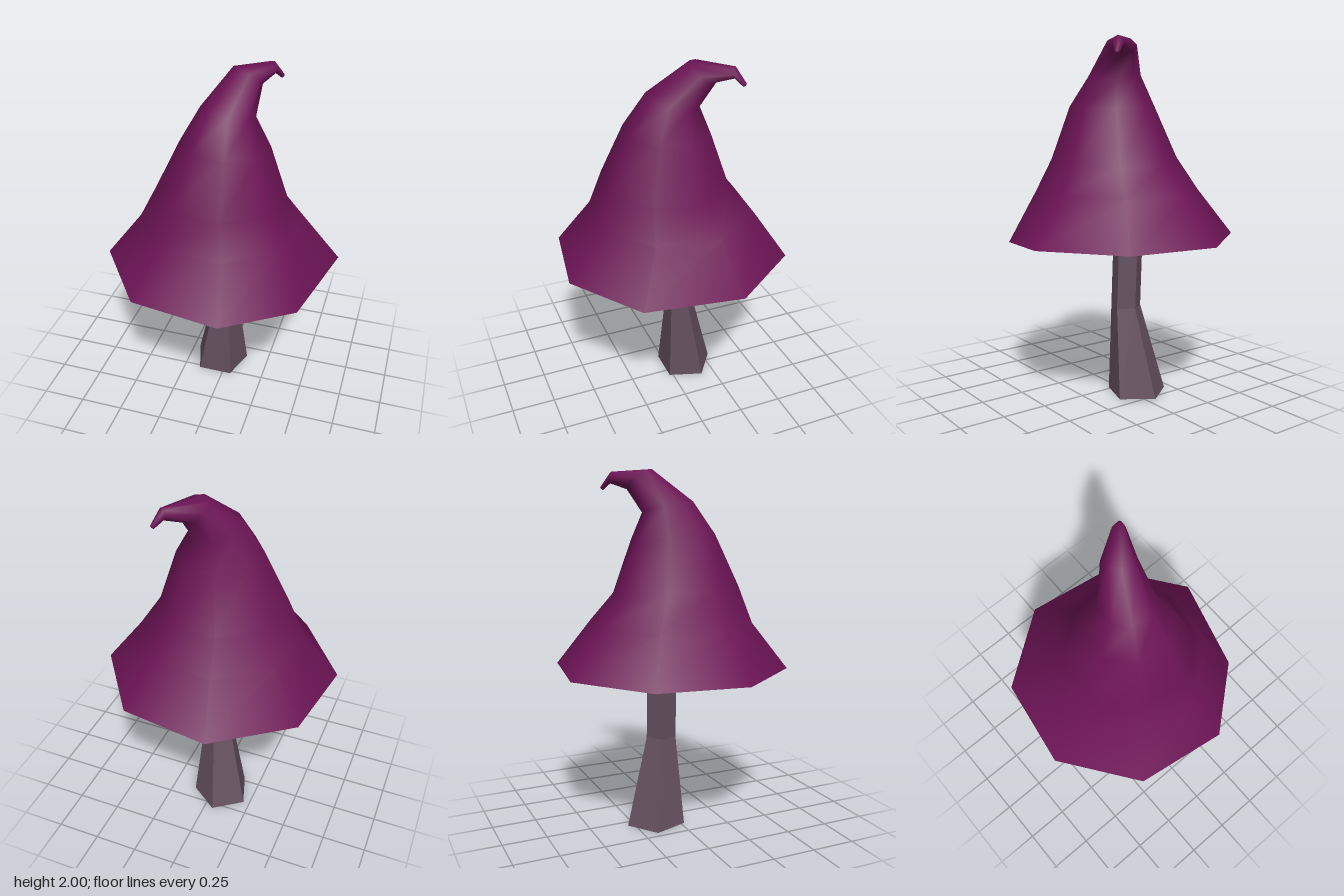
import * as THREE from 'three';

const DEG = Math.PI / 180;

// Skins a stack of rings; each ring is a closed loop of the same number of points.
function loft(rings) {
  const n = rings[0].length;
  const index = [];
  for (let i = 0; i < rings.length - 1; i++) {
    for (let k = 0; k < n; k++) {
      const a = i * n + k, b = i * n + (k + 1) % n;
      index.push(a, a + n, b, b, a + n, b + n);
    }
  }
  const geo = new THREE.BufferGeometry().setFromPoints(rings.flat());
  geo.setIndex(index);
  geo.computeVertexNormals();
  return geo;
}

// Ring round (x, y, z); tilt tips its upper side towards the heading angle.
function ring([x, y, z, r, tilt = 0], sides, heading, start) {
  const h = heading * DEG, t = tilt * DEG;
  const u = new THREE.Vector3(Math.cos(h) * Math.cos(t), -Math.sin(t), Math.sin(h) * Math.cos(t));
  const v = new THREE.Vector3(-Math.sin(h), 0, Math.cos(h));
  return Array.from({ length: sides }, (_, k) => {
    const a = start * DEG + (k / sides) * Math.PI * 2;
    return new THREE.Vector3(x, y, z)
      .addScaledVector(u, r * Math.cos(a))
      .addScaledVector(v, r * Math.sin(a));
  });
}

export function createModel() {
  const group = new THREE.Group();
  const add = (name, geo, mat) => {
    const mesh = new THREE.Mesh(geo, mat);
    mesh.name = name;
    group.add(mesh);
  };

  const capMat = new THREE.MeshStandardMaterial({ color: 0x6c1455 });
  const stemMat = new THREE.MeshStandardMaterial({ color: 0x64505e, flatShading: true });

  // Cap: eight-sided cone whose top curls over into a hooked tip
  const capRing = (p) => ring(p, 8, -52, -7);
  const cap = [
    [0, 0.905, 0, 0.66],
    [0, 1.16, 0, 0.46],
    [0, 1.34, 0.03, 0.355, 4],
    [0.02, 1.63, 0.025, 0.237, 4],
    [0.025, 1.795, -0.005, 0.145, 12],
    [0.09, 1.945, -0.145, 0.088, 38],
    [0.197, 1.955, -0.272, 0.032, 85],
    [0.235, 1.895, -0.312, 0.012, 130],
    [0.237, 1.893, -0.314, 0.0005, 130],
  ].map(capRing);
  const droop = new THREE.Vector3(0.51, 0.865, 0.35); // one sagging rim corner
  cap[0][2].copy(droop);
  add('cap', loft(cap), capMat);

  // Hollow underside, rising from the rim to the stem
  const underside = [
    [0, 1.16, -0.05, 0.02],
    [0, 1.13, -0.04, 0.2],
    [0, 1.04, 0, 0.45],
    [0, 0.905, 0, 0.66],
  ].map(capRing);
  underside[3][2].copy(droop);
  add('capUnderside', loft(underside), capMat);

  // Stem: faceted five-sided column, wide at the foot and flared into the cap
  const stem = [
    [-0.05, 0, -0.118, 0.0005],
    [-0.05, 0, -0.118, 0.17],
    [-0.01, 0.5, -0.065, 0.087],
    [-0.027, 0.94, -0.065, 0.087],
    [0.005, 1.15, -0.065, 0.128],
  ].map((p) => ring(p, 5, 0, 54));
  add('stem', loft(stem), stemMat);

  return group;
}
